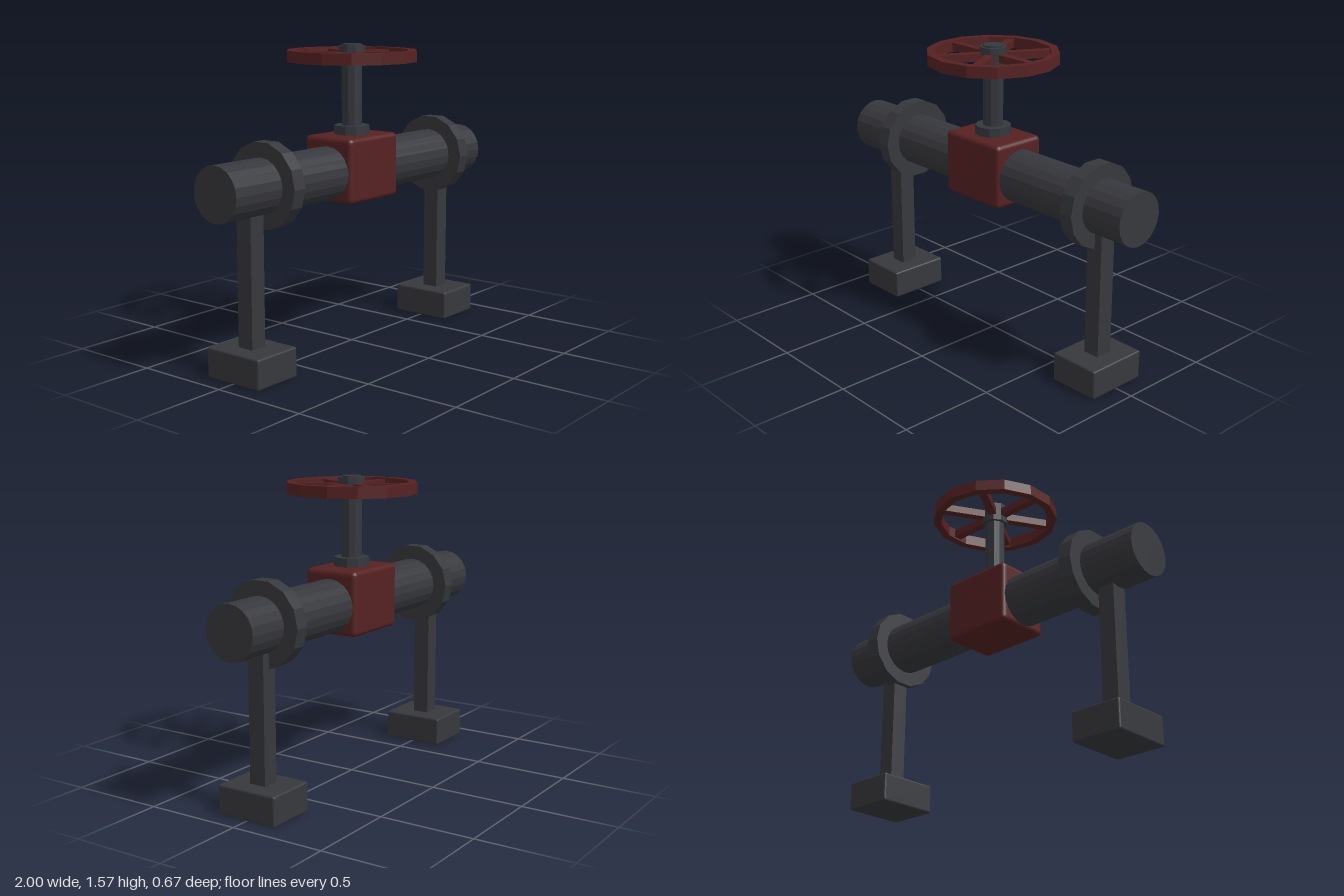
import * as THREE from 'three';
import { RoundedBoxGeometry } from 'three/addons/geometries/RoundedBoxGeometry.js';

export function createModel() {
  const model = new THREE.Group();
  model.name = 'pipeValve';

  const paint = (name, color) => {
    const m = new THREE.MeshStandardMaterial({ color, flatShading: true });
    m.name = name;
    return m;
  };
  const iron = paint('darkIron', 0x37383d);
  const steel = paint('stemSteel', 0x34373d);
  const red = paint('valveRed', 0x562122);

  const add = (name, geometry, material, x = 0, y = 0, z = 0, parent = model) => {
    const mesh = new THREE.Mesh(geometry, material);
    mesh.name = name;
    mesh.position.set(x, y, z);
    parent.add(mesh);
    return mesh;
  };
  const cylinderX = (r, length, sides) =>
    new THREE.CylinderGeometry(r, r, length, sides).rotateZ(Math.PI / 2);
  // Upright cylinder between two heights
  const column = (name, r, y0, y1) =>
    add(name, new THREE.CylinderGeometry(r, r, y1 - y0, 10), steel, 0, (y0 + y1) / 2);

  // Horizontal pipe with two flanges
  const pipeY = 0.928;
  add('pipe', cylinderX(0.137, 2, 20), iron, 0, pipeY);
  for (const x of [-0.653, 0.731]) add('flange', cylinderX(0.214, 0.076, 14), iron, x, pipeY);

  // Supports: square post on a block foot
  for (const x of [-0.77, 0.767]) {
    add('supportPost', new THREE.BoxGeometry(0.09, 0.71, 0.09), iron, x, 0.495);
    add('supportFoot', new RoundedBoxGeometry(0.275, 0.152, 0.335, 2, 0.01), iron, x, 0.076);
  }

  // Valve body
  add('valveBody', new RoundedBoxGeometry(0.396, 0.334, 0.302, 3, 0.025), red, 0, 0.943);

  // Stem, collar and wheel hub
  column('stemCollar', 0.092, 1.09, 1.156);
  column('stem', 0.052, 1.1, 1.572);
  column('wheelHub', 0.069, 1.46, 1.564);

  // Handwheel: faceted rim and three bars forming six spokes
  const wheel = new THREE.Group();
  wheel.name = 'handwheel';
  wheel.position.y = 1.512;
  model.add(wheel);
  const [inner, outer, h] = [0.295, 0.337, 0.029];
  const section = [[inner, -h], [outer, -h], [outer, h], [inner, h], [inner, -h]]
    .map(([r, y]) => new THREE.Vector2(r, y));
  add('wheelRim', new THREE.LatheGeometry(section, 14), red, 0, 0, 0, wheel);
  for (let i = 0; i < 3; i++) {
    const bar = add('wheelSpokes', new THREE.BoxGeometry(0.6, 0.04, 0.042), red, 0, 0, 0, wheel);
    bar.rotation.y = (i * Math.PI) / 3;
  }
  return model;
}
